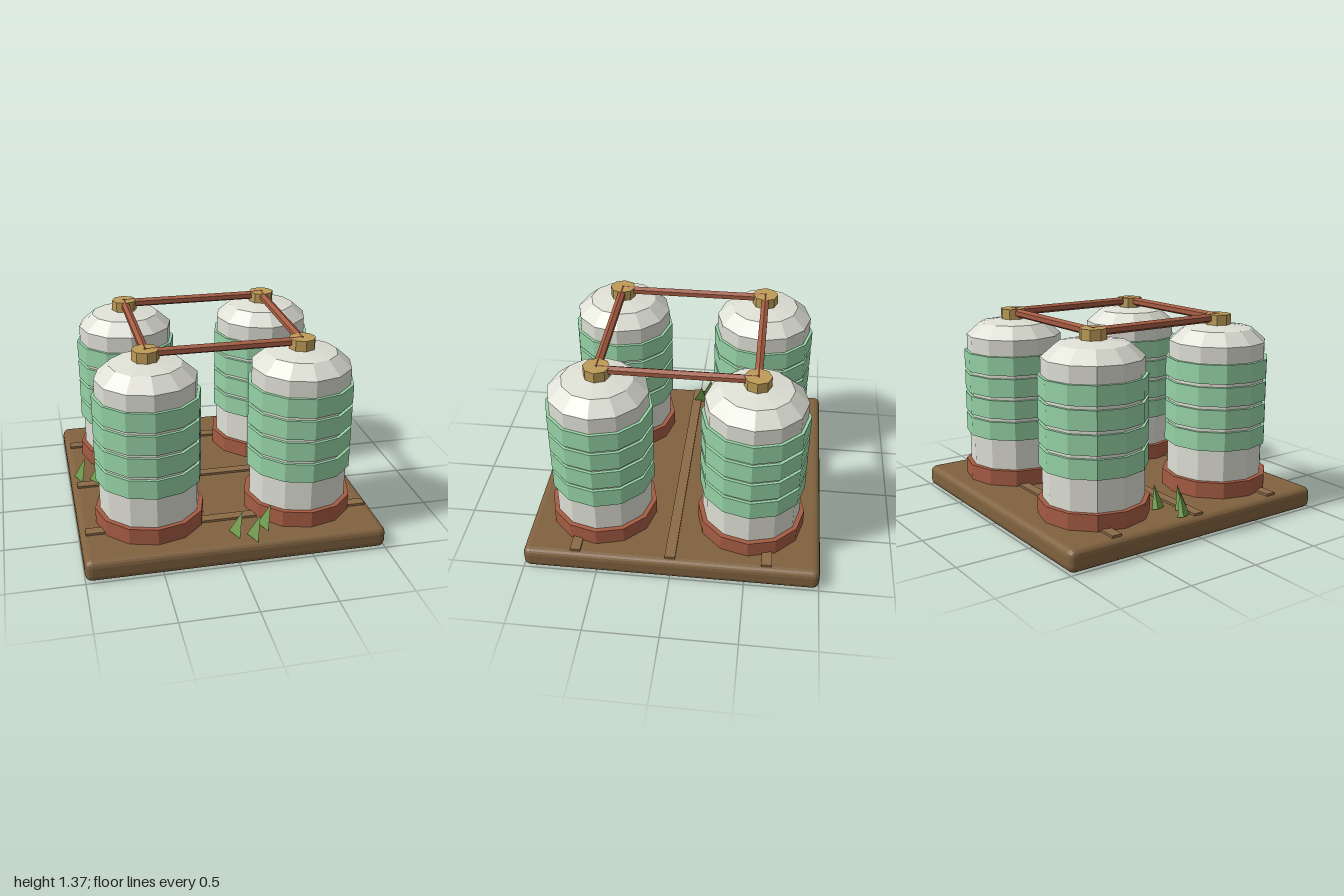
import * as THREE from 'three';
import { RoundedBoxGeometry } from 'three/addons/geometries/RoundedBoxGeometry.js';

const mat = (color) => new THREE.MeshStandardMaterial({ color, flatShading: true });

export function createModel() {
  const model = new THREE.Group();
  const wood = mat(0x80623f), plankWood = mat(0x8c6b48), copper = mat(0xa55c43);
  const white = mat(0xdedfd4), green = mat(0x96d3a6), brass = mat(0xbd9c58), leaf = mat(0x6f9a4a);

  const add = (parent, name, geometry, material, x = 0, y = 0, z = 0) => {
    const mesh = new THREE.Mesh(geometry, material);
    mesh.name = name;
    mesh.position.set(x, y, z);
    parent.add(mesh);
    return mesh;
  };
  // Upright prism between two heights
  const drum = (parent, name, r, y0, y1, sides, material) =>
    add(parent, name, new THREE.CylinderGeometry(r, r, y1 - y0, sides), material, 0, (y0 + y1) / 2, 0);

  // Wooden platform with rounded edges and raised planks
  add(model, 'platform', new RoundedBoxGeometry(2, 0.15, 2, 2, 0.045), wood, 0, 0.075, 0);
  for (const z of [-0.643, 0, 0.643]) {
    add(model, 'plank', new THREE.BoxGeometry(1.925, 0.03, 0.07), plankWood, 0, 0.15, z);
  }

  // Four tanks: copper foot, body, four bands, shallow dome, brass cap
  const C = 0.513;
  for (const x of [-C, C]) for (const z of [-C, C]) {
    const tank = new THREE.Group();
    tank.name = 'tank';
    tank.position.set(x, 0, z);
    drum(tank, 'foot', 0.367, 0.14, 0.26, 12, copper);
    drum(tank, 'body', 0.334, 0.2, 1.183, 12, white);
    for (let i = 0; i < 4; i++) {
      const y = 0.479 + i * 0.154;
      drum(tank, 'band', 0.355, y, y + 0.13, 12, green);
    }
    const dome = add(tank, 'dome', new THREE.SphereGeometry(0.334, 12, 2, 0, Math.PI * 2, 0, Math.PI / 2), white, 0, 1.183, 0);
    dome.scale.y = 0.36;
    drum(tank, 'cap', 0.089, 1.28, 1.361, 8, brass);
    model.add(tank);
  }

  // Ring of six-sided pipes joining the caps, ridge upward
  const pipe = new THREE.CylinderGeometry(0.03, 0.03, 2 * C + 0.02, 6, 1, false, Math.PI / 2).rotateZ(Math.PI / 2);
  for (const s of [-1, 1]) {
    add(model, 'crossPipe', pipe, copper, 0, 1.335, s * C);
    add(model, 'sidePipe', pipe, copper, s * C, 1.335, 0).rotation.y = Math.PI / 2;
  }

  // Leaning grass blades in two clumps
  const blade = new THREE.ConeGeometry(0.068, 0.165, 3).scale(0.42, 1, 1).rotateY(0.3).rotateZ(-0.3);
  for (const [cx, cz] of [[-0.82, -0.04], [0.115, 0.92]]) {
    for (const [dx, dz] of [[-0.105, -0.065], [0, 0], [0.1, -0.115]]) {
      add(model, 'grassBlade', blade, leaf, cx + dx + 0.01, 0.235, cz + dz);
    }
  }
  return model;
}
